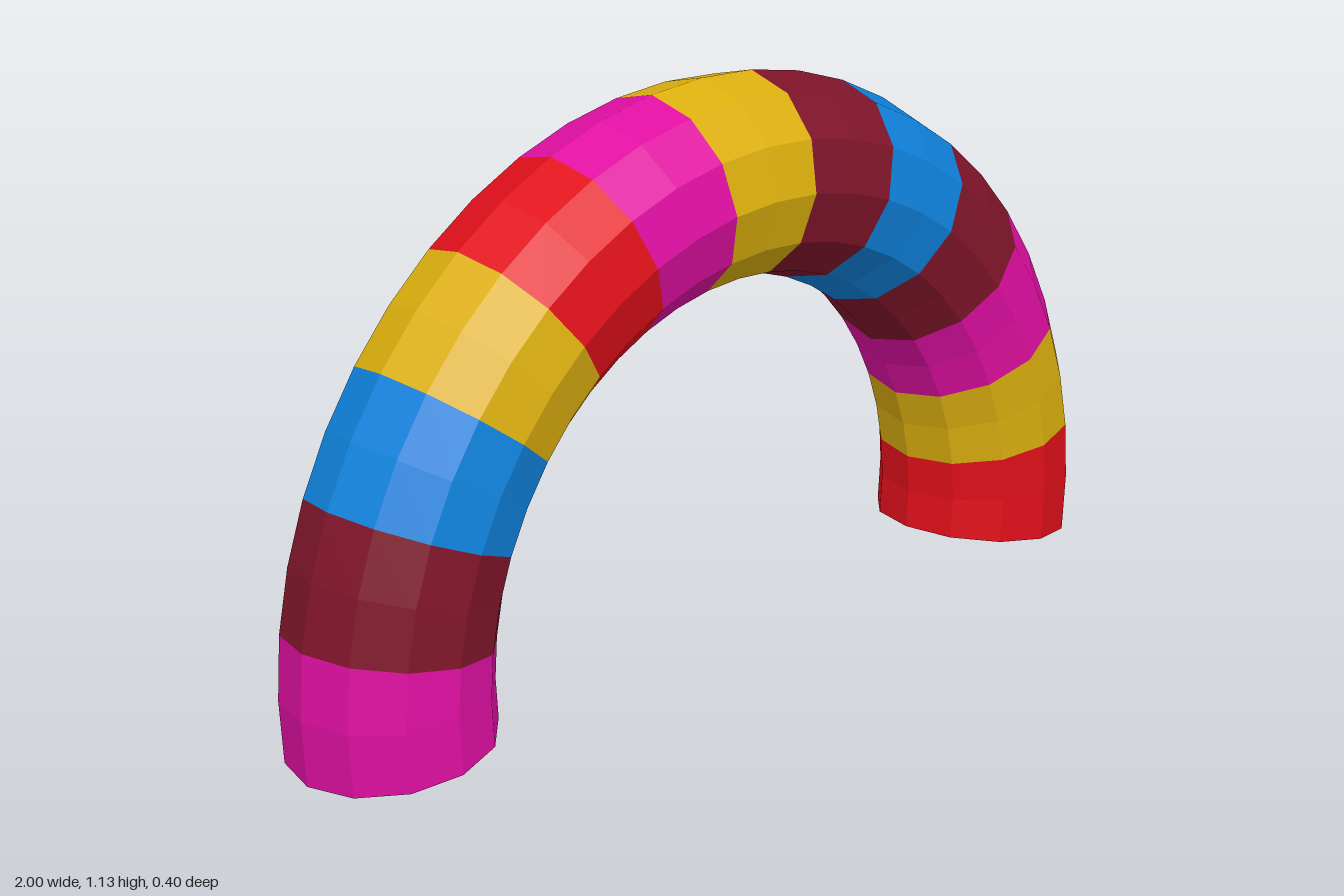
import * as THREE from 'three';

const RED = 0xe00f1a, GOLD = 0xdcaf0f, MAGENTA = 0xe00fa2, MAROON = 0x80152a, BLUE = 0x0f82dc;

// Band colours from the left foot (+x) over the top to the right foot
const BANDS = [RED, GOLD, MAGENTA, MAROON, BLUE, MAROON, GOLD, MAGENTA, RED, GOLD, BLUE, MAROON, MAGENTA];

export function createModel() {
  const group = new THREE.Group();
  group.name = 'arch';

  const step = THREE.MathUtils.degToRad(15);
  const start = -step / 2; // the feet curl slightly past the half circle
  const materials = new Map();
  const materialFor = (color) => {
    if (!materials.has(color)) {
      materials.set(color, new THREE.MeshStandardMaterial({ color, flatShading: true, side: THREE.DoubleSide }));
    }
    return materials.get(color);
  };

  // One open twelve-sided tube section, turned into place for each band
  const section = new THREE.TorusGeometry(0.8, 0.2, 12, 2, step);
  BANDS.forEach((color, i) => {
    const band = new THREE.Mesh(section, materialFor(color));
    band.name = `archBand${i + 1}`;
    band.rotation.z = start + i * step;
    band.position.y = Math.sin(step / 2); // outer rim of the feet rests on the ground
    group.add(band);
  });

  return group;
}
